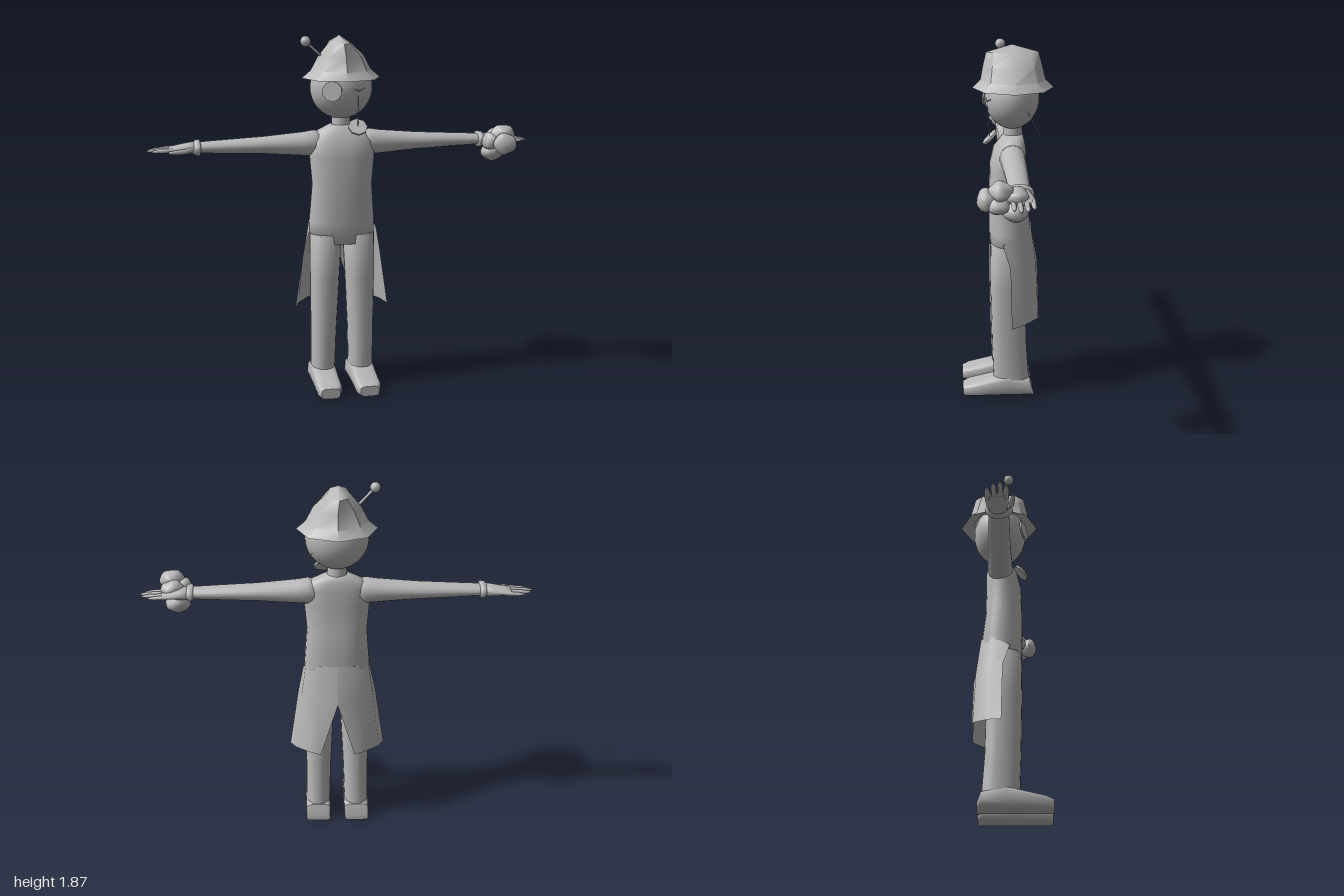
import * as THREE from 'three';
import { toCreasedNormals } from 'three/addons/utils/BufferGeometryUtils.js';

const grey = new THREE.MeshStandardMaterial({ color: 0xb8b8b8 });
grey.name = 'clay grey';
const greyCloth = new THREE.MeshStandardMaterial({ color: 0xb8b8b8, side: THREE.DoubleSide });
greyCloth.name = 'clay grey cloth';

// Skin through cross-sections [height, centreX, centreZ, radiusX, radiusZ]; power < 1 squares the section
function loft(sections, n = 20, power = 1, capped = true) {
  const rows = sections.slice();
  if (capped) {
    const flat = (s) => [s[0], s[1], s[2], 0, 0];
    rows.unshift(flat(rows[0]));
    rows.push(flat(rows[rows.length - 1]));
  }
  const pos = [], idx = [];
  const bend = (v) => Math.sign(v) * Math.pow(Math.abs(v) < 1e-9 ? 0 : Math.abs(v), power);
  for (const [t, cx, cz, rx, rz] of rows) {
    for (let j = 0; j < n; j++) {
      const a = (j / n) * Math.PI * 2;
      pos.push(cx + rx * bend(Math.cos(a)), t, cz + rz * bend(Math.sin(a)));
    }
  }
  for (let i = 0; i < rows.length - 1; i++) {
    for (let j = 0; j < n; j++) {
      const a = i * n + j, b = i * n + ((j + 1) % n);
      if (rows[i][3] > 0) idx.push(a, a + n, b);
      if (rows[i + 1][3] > 0) idx.push(b, a + n, b + n);
    }
  }
  const geo = new THREE.BufferGeometry();
  geo.setAttribute('position', new THREE.Float32BufferAttribute(pos, 3));
  geo.setIndex(idx);
  geo.computeVertexNormals();
  return geo;
}

export function createModel() {
  const model = new THREE.Group();
  const add = (name, geo, mat = grey, parent = model) => {
    const mesh = new THREE.Mesh(geo, mat);
    mesh.name = name;
    parent.add(mesh);
    return mesh;
  };
  // Round rod between two points
  const rod = (name, a, b, r, sides = 6) => {
    const from = new THREE.Vector3(...a), to = new THREE.Vector3(...b);
    const mesh = add(name, new THREE.CylinderGeometry(r, r, from.distanceTo(to), sides));
    mesh.position.copy(from).lerp(to, 0.5);
    mesh.quaternion.setFromUnitVectors(new THREE.Vector3(0, 1, 0), to.sub(from).normalize());
  };

  // Body
  add('torso', loft([
    [0.79, 0, -0.005, 0.17, 0.088], [0.9, 0, -0.02, 0.172, 0.11], [1.1, 0, -0.008, 0.157, 0.097],
    [1.25, 0, -0.008, 0.17, 0.094], [1.33, 0, -0.018, 0.172, 0.085],
    [1.375, 0, -0.03, 0.135, 0.065], [1.41, 0, -0.035, 0.06, 0.05],
  ], 28, 0.85));
  add('neck', new THREE.CylinderGeometry(0.045, 0.055, 0.12, 16)).position.set(0, 1.42, -0.035);
  const head = add('head', new THREE.SphereGeometry(1, 28, 20));
  head.scale.set(0.162, 0.16, 0.14);
  head.position.set(0, 1.6, -0.03);

  // Hat: brim, then a crown pinched to a ridge running front to back
  add('hat', toCreasedNormals(loft([
    [1.675, 0, -0.035, 0.14, 0.14], [1.65, 0, -0.035, 0.205, 0.208], [1.69, 0, -0.035, 0.158, 0.166],
    [1.765, 0, -0.033, 0.118, 0.15], [1.83, -0.008, -0.032, 0.055, 0.133], [1.868, -0.01, -0.03, 0, 0],
  ], 8, 1, false), 0.7), greyCloth);
  rod('hatPin', [-0.19, 1.84, 0.02], [-0.08, 1.74, -0.03], 0.007, 8);
  add('hatPinBall', new THREE.SphereGeometry(0.027, 12, 8)).position.set(-0.192, 1.842, 0.02);

  // Face details
  const lens = add('eyeLens', new THREE.CylinderGeometry(0.052, 0.052, 0.009, 10));
  lens.rotation.set(Math.PI / 2 - 0.1, 0, 0.35);
  lens.position.set(-0.07, 1.595, 0.1);
  rod('closedEyeInner', [0.045, 1.605, 0.105], [0.07, 1.594, 0.1], 0.003);
  rod('closedEyeOuter', [0.07, 1.594, 0.1], [0.1, 1.608, 0.083], 0.003);
  rod('pendantThread', [0.065, 1.57, 0.098], [0.065, 1.41, 0.088], 0.002);
  const pendant = add('pendant', new THREE.CylinderGeometry(0.05, 0.05, 0.012, 8));
  pendant.rotation.x = Math.PI / 4;
  pendant.position.set(0.065, 1.408, 0.085);
  rod('looseThread', [0.12, 1.55, -0.1], [0.228, 1.44, -0.165], 0.0015);

  for (const side of [1, -1]) {
    const word = side > 0 ? 'left' : 'right';

    // Arm pieces are lofted outwards: [x, y, z, half height, half depth]
    const outward = (name, list, n, power) => add(word + name,
      loft(list.map(([x, y, z, h, d]) => [x, -side * y, z, h, d]), n, power).rotateZ(-side * Math.PI / 2));
    outward('Arm', [
      [0.1, 1.315, -0.025, 0.06, 0.06], [0.15, 1.315, -0.025, 0.068, 0.066], [0.2, 1.313, -0.025, 0.062, 0.064],
      [0.4, 1.312, -0.027, 0.045, 0.058], [0.75, 1.31, -0.025, 0.028, 0.05],
    ], 18);
    outward('Cuff', [
      [0.73, 1.31, -0.023, 0.03, 0.055], [0.735, 1.31, -0.023, 0.042, 0.068],
      [0.755, 1.31, -0.023, 0.04, 0.066], [0.765, 1.31, -0.023, 0.03, 0.05],
    ], 16);
    outward('Palm', [
      [0.75, 1.31, -0.025, 0.034, 0.048], [0.8, 1.308, -0.03, 0.028, 0.054],
      [0.86, 1.306, -0.032, 0.017, 0.058], [0.89, 1.305, -0.032, 0.01, 0.053],
    ], 14);
    [[-0.076, 0.955], [-0.046, 0.99], [-0.015, 1.0], [0.014, 0.975]].forEach(([z, tip], i) =>
      outward('Finger' + (i + 1), [
        [0.86, 1.305, z, 0.012, 0.013], [tip - 0.03, 1.302, z, 0.01, 0.012], [tip, 1.3, z, 0.005, 0.006],
      ], 8));
    outward('Thumb', [
      [0.775, 1.305, 0.01, 0.014, 0.018], [0.81, 1.3, 0.036, 0.014, 0.014],
      [0.87, 1.298, 0.044, 0.011, 0.011], [0.895, 1.298, 0.044, 0.005, 0.006],
    ], 8);

    // Leg and shoe
    add(word + 'Leg', loft([
      [0.04, 0.105, -0.028, 0.066, 0.1], [0.1, 0.103, -0.022, 0.064, 0.095], [0.3, 0.1, -0.011, 0.067, 0.092],
      [0.6, 0.094, -0.005, 0.076, 0.092], [0.84, 0.088, -0.008, 0.083, 0.093],
    ].map(([y, x, ...rest]) => [y, side * x, ...rest]), 20, 0.85));
    add(word + 'Shoe', toCreasedNormals(loft([
      [-0.138, 0.03, 0.064], [-0.12, 0.09, 0.066], [0, 0.12, 0.068], [0.08, 0.1, 0.066],
      [0.2, 0.07, 0.066], [0.238, 0.055, 0.05],
    ].map(([z, h, w]) => [z, side * 0.104, -h / 2, w, h / 2]), 20, 0.5).rotateX(Math.PI / 2), 0.8));

    // Coat tail: rows from the back slit round to the front edge
    const rows = [
      [[0, 0.93, -0.13], [0.09, 0.93, -0.125], [0.165, 0.91, -0.065], [0.178, 0.86, 0.025]],
      [[0, 0.72, -0.165], [0.11, 0.73, -0.15], [0.19, 0.73, -0.085], [0.205, 0.74, -0.012]],
      [[0.09, 0.43, -0.17], [0.15, 0.445, -0.162], [0.222, 0.435, -0.085], [0.252, 0.425, -0.018]],
    ];
    const tail = new THREE.BufferGeometry();
    tail.setAttribute('position', new THREE.Float32BufferAttribute(
      rows.flat().flatMap(([x, y, z]) => [side * x, y, z]), 3));
    const faces = [];
    for (let r = 0; r < 2; r++) {
      for (let c = 0; c < 3; c++) {
        const a = r * 4 + c, quad = [a, a + 1, a + 4, a + 1, a + 5, a + 4];
        faces.push(...(side > 0 ? quad.reverse() : quad));
      }
    }
    tail.setIndex(faces);
    tail.computeVertexNormals();
    add(word + 'CoatTail', tail, greyCloth);
  }

  // Lumpy bundle held at the left hand
  const bundle = new THREE.Group();
  bundle.name = 'handBundle';
  model.add(bundle);
  [
    [0.84, 1.305, 0.13, 0.06, 0.055, 0.05], [0.845, 1.35, 0.07, 0.065, 0.045, 0.055],
    [0.815, 1.25, 0, 0.06, 0.052, 0.065], [0.84, 1.325, 0, 0.06, 0.04, 0.06],
    [0.785, 1.31, 0.06, 0.045, 0.048, 0.05], [0.87, 1.29, 0.08, 0.045, 0.04, 0.05],
  ].forEach(([x, y, z, rx, ry, rz], k) => {
    const geo = new THREE.SphereGeometry(1, 16, 12);
    const p = geo.attributes.position, v = new THREE.Vector3();
    for (let i = 0; i < p.count; i++) {
      v.fromBufferAttribute(p, i);
      v.multiplyScalar(1 + 0.09 * Math.sin(4 * v.x + k) * Math.cos(3.5 * v.y - k) + 0.05 * Math.sin(5 * v.z + k));
      p.setXYZ(i, x + v.x * rx, y + v.y * ry, z + v.z * rz);
    }
    geo.computeVertexNormals();
    add('bundleLump' + (k + 1), geo, grey, bundle);
  });

  return model;
}
